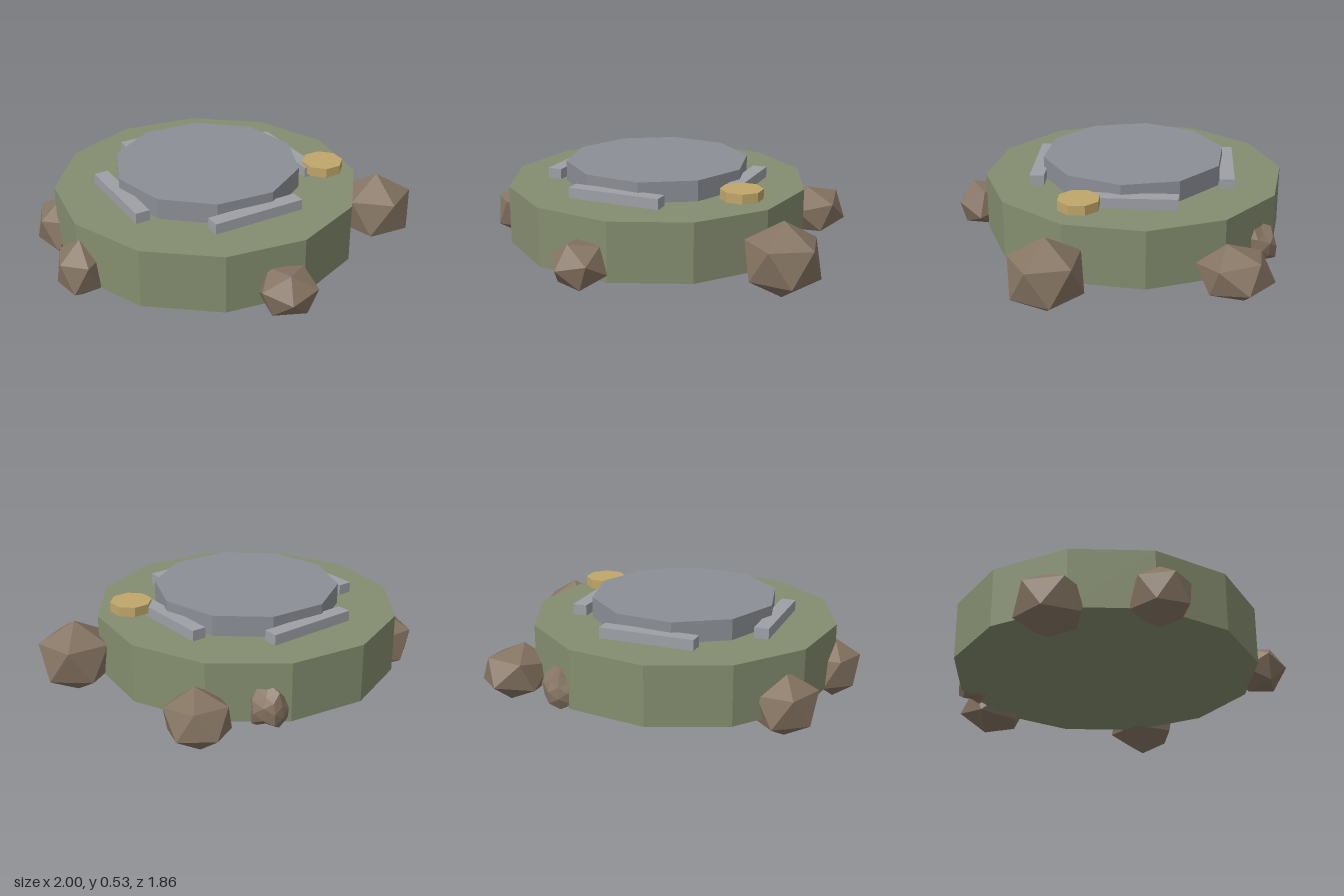
import * as THREE from 'three';
import { ConvexGeometry } from 'three/addons/geometries/ConvexGeometry.js';

const CX = -0.1, CZ = 0.01; // centre of the round base

const paint = (color) => new THREE.MeshStandardMaterial({ color, flatShading: true });

function add(group, name, geometry, material, x, y, z) {
  const mesh = new THREE.Mesh(geometry, material);
  mesh.name = name;
  mesh.position.set(x, y, z);
  group.add(mesh);
  return mesh;
}

// Upright prism between two heights
function disc(group, name, material, sides, radius, x, z, bottom, top) {
  const geometry = new THREE.CylinderGeometry(radius, radius, top - bottom, sides);
  return add(group, name, geometry, material, x, (bottom + top) / 2, z);
}

// Twenty-sided boulder: two poles and two staggered rings, tilted, then stretched
function boulderGeometry([rx, ry, rz], turn, tilt) {
  const points = [new THREE.Vector3(0, 1, 0), new THREE.Vector3(0, -1, 0)];
  for (let i = 0; i < 10; i++) {
    const a = turn + i * Math.PI / 5;
    const y = i % 2 ? -0.447 : 0.447;
    points.push(new THREE.Vector3(0.894 * Math.cos(a), y, 0.894 * Math.sin(a)));
  }
  const tilted = new THREE.Euler(tilt, 0, 0);
  points.forEach((p) => p.applyEuler(tilted).multiply(new THREE.Vector3(rx, ry, rz)));
  return new ConvexGeometry(points);
}

// Small crumpled stone: a finer ball with its vertices pushed in and out
function crumpledGeometry(radius) {
  const geometry = new THREE.IcosahedronGeometry(1, 1);
  const pos = geometry.attributes.position;
  const p = new THREE.Vector3();
  for (let i = 0; i < pos.count; i++) {
    p.fromBufferAttribute(pos, i);
    const bump = Math.sin(9 * p.x + 2) * Math.cos(8 * p.y - 1) + Math.sin(7 * p.z + 5 * p.x);
    p.multiplyScalar(radius * (0.87 + 0.12 * bump));
    pos.setXYZ(i, p.x, p.y, p.z);
  }
  geometry.computeVertexNormals();
  return geometry;
}

export function createModel() {
  const model = new THREE.Group();
  model.name = 'rockyPlatform';
  const grass = paint(0x848d6f);
  const stone = paint(0x8b8e95);
  const wallStone = paint(0x9da0a6);
  const gold = paint(0xc0a76a);
  const rock = paint(0x857462);

  // Base, raised floor and floating token
  disc(model, 'base', grass, 12, 0.79, CX, CZ, 0.125, 0.43);
  disc(model, 'raisedFloor', stone, 10, 0.483, CX, CZ, 0.43, 0.537);
  disc(model, 'token', gold, 8, 0.108, 0.515, 0.01, 0.45, 0.5);

  // Four low walls laid around the floor
  for (let i = 0; i < 4; i++) {
    const a = -0.4 + i * Math.PI / 2;
    const wall = add(model, 'lowWall', new THREE.BoxGeometry(0.075, 0.06, 0.49), wallStone,
      CX + 0.49 * Math.cos(a), 0.455, CZ + 0.49 * Math.sin(a));
    wall.rotation.y = -a;
  }

  // Boulders around the rim: position, radii, turn, tilt
  const boulders = [
    ['leftBoulder', [0.81, 0.215, 0.03], [0.212, 0.195, 0.205], 0, 0],
    ['backBoulder', [0.35, 0.192, -0.75], [0.178, 0.145, 0.2], -1.25, 0.25],
    ['rightBoulder', [-0.85, 0.168, -0.08], [0.17, 0.165, 0.19], 2.5, 0],
    ['rightFrontBoulder', [-0.77, 0.193, 0.42], [0.135, 0.158, 0.165], 3.75, 0],
    ['frontBoulder', [0.197, 0.215, 0.785], [0.158, 0.13, 0.142], -Math.PI / 2, Math.PI / 2],
  ];
  for (const [name, at, radii, turn, tilt] of boulders) {
    add(model, name, boulderGeometry(radii, turn, tilt), rock, ...at);
  }
  add(model, 'crumpledStone', crumpledGeometry(0.12), rock, 0, 0.2, -0.735);

  return model;
}
